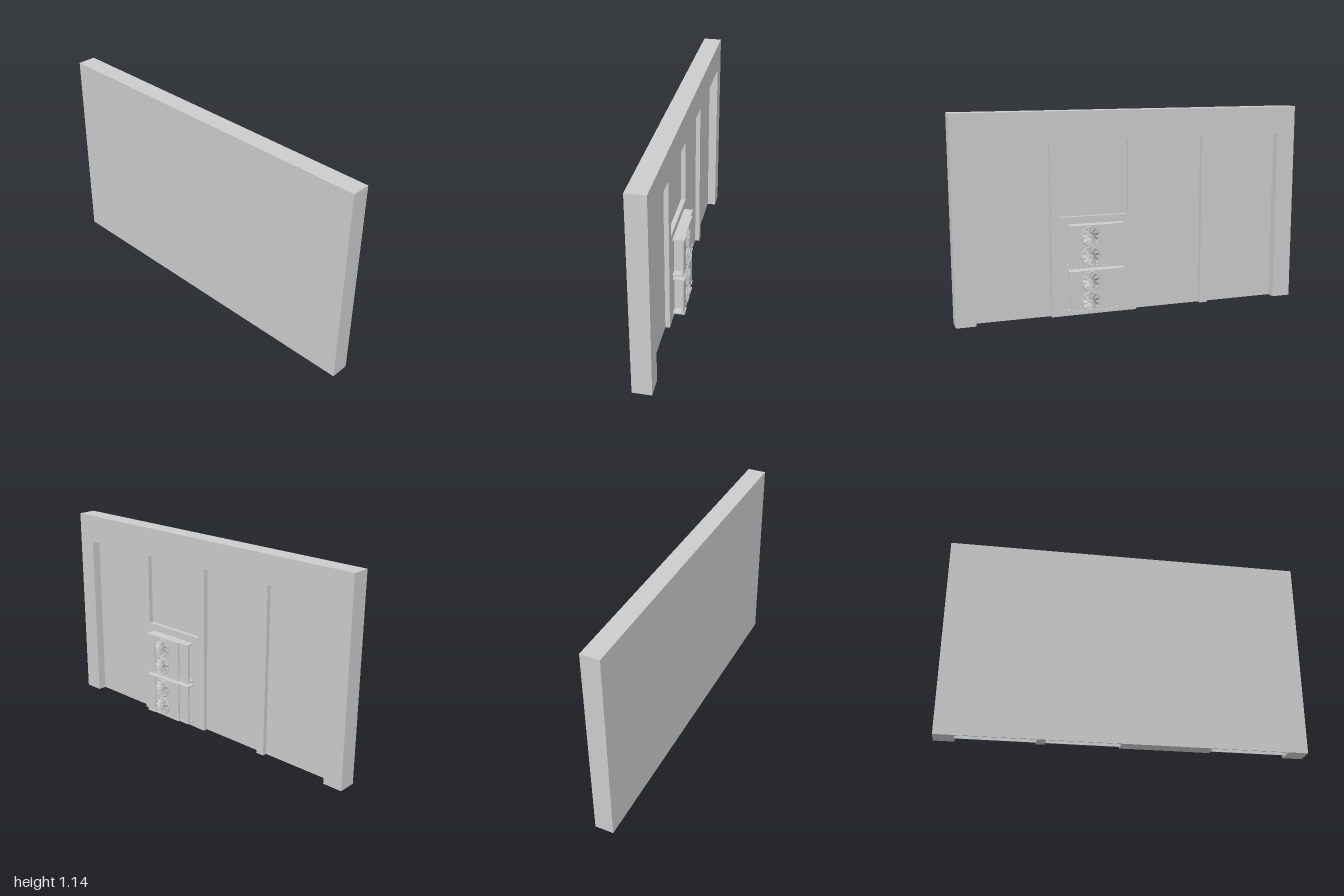
import * as THREE from 'three';

const material = new THREE.MeshStandardMaterial({ color: 0xcccccc, flatShading: true });

function add(parent, name, geometry, x = 0, y = 0, z = 0) {
  const mesh = new THREE.Mesh(geometry, material);
  mesh.name = name;
  mesh.position.set(x, y, z);
  parent.add(mesh);
  return mesh;
}

// Box given by its minimum and maximum corners
function span(parent, name, [x0, y0, z0], [x1, y1, z1]) {
  return add(parent, name, new THREE.BoxGeometry(x1 - x0, y1 - y0, z1 - z0),
    (x0 + x1) / 2, (y0 + y1) / 2, (z0 + z1) / 2);
}

// Plan outline (x, distance behind the centre) raised to a height
function raise(points, height) {
  const shape = new THREE.Shape(points.map(([x, d]) => new THREE.Vector2(x, d)));
  return new THREE.ExtrudeGeometry(shape, { depth: height, bevelEnabled: false }).rotateX(-Math.PI / 2);
}

function createFan() {
  const fan = new THREE.Group();
  fan.name = 'fan';
  add(fan, 'fanRing', new THREE.TorusGeometry(0.051, 0.004, 6, 28), 0, 0, -0.006);
  add(fan, 'fanHub', new THREE.CylinderGeometry(0.012, 0.014, 0.016, 16).rotateX(-Math.PI / 2), 0, 0, -0.009);
  for (let i = 0; i < 9; i++) {
    const arm = new THREE.Group();
    arm.name = 'bladeArm';
    arm.rotation.z = (i / 9) * Math.PI * 2;
    const blade = add(arm, 'fanBlade', new THREE.BoxGeometry(0.038, 0.017, 0.002), 0.03, 0, -0.009);
    blade.rotation.set(0.55, 0, 0.25);
    fan.add(arm);
  }
  return fan;
}

// Rear-mounted housing with two fans between stepped flanges
function createFanUnit() {
  const unit = new THREE.Group();
  unit.name = 'fanUnit';
  const height = 0.235, flange = 0.009;
  const step = [[0.06, 0.055], [0.13, 0.055], [0.13, 0.064], [0.32, 0.064], [0.32, 0.07], [0.38, 0.07]];
  const outline = [[0.06, 0.004], ...step, [0.38, 0.004]];
  for (const y of [0, height - flange]) add(unit, 'flange', raise(outline, flange), 0, y);

  // Thin cover following the same steps
  const front = step.map(([x, d]) => [x, d - 0.005]);
  const back = step.map(([x, d]) => [x, d - 0.017]).reverse();
  add(unit, 'cover', raise([...front, ...back], height - 2 * flange), 0, flange);
  span(unit, 'innerHousing', [0.11, flange, -0.05], [0.34, height - flange, -0.004]);

  for (const side of [-1, 1]) {
    const fan = createFan();
    fan.position.set(0.26, height / 2 + side * 0.057, -0.058);
    unit.add(fan);
  }
  return unit;
}

export function createModel() {
  const model = new THREE.Group();
  model.name = 'wallPanel';
  const W = 1, H = 1.14, front = 0.075, rear = -0.03;
  const inner = 0.89, top = 0.98, recess = 0.02, stileFace = -0.006;

  // Hollow shell, open along the bottom between the legs
  span(model, 'frontSheet', [-inner, 0, front - 0.005], [inner, top, front]);
  span(model, 'backSheet', [-inner, 0, recess], [inner, top, recess + 0.003]);
  span(model, 'topRail', [-W, top, rear], [W, H, front]);
  for (const s of [-1, 1]) {
    span(model, 'sideRail', [Math.min(s * inner, s * W), 0, rear], [Math.max(s * inner, s * W), top, front]);
  }

  // Upright stiles
  for (const x of [-0.445, 0, 0.445]) {
    span(model, 'stile', [x - 0.024, 0, stileFace], [x + 0.024, top, front - 0.005]);
  }

  // Solid mounting plate and the stacked fan units
  span(model, 'mountingPlate', [0.024, 0, stileFace + 0.001], [0.421, 0.56, front - 0.005]);
  for (const y of [0.03, 0.285]) {
    const unit = createFanUnit();
    unit.position.y = y;
    model.add(unit);
  }
  return model;
}
